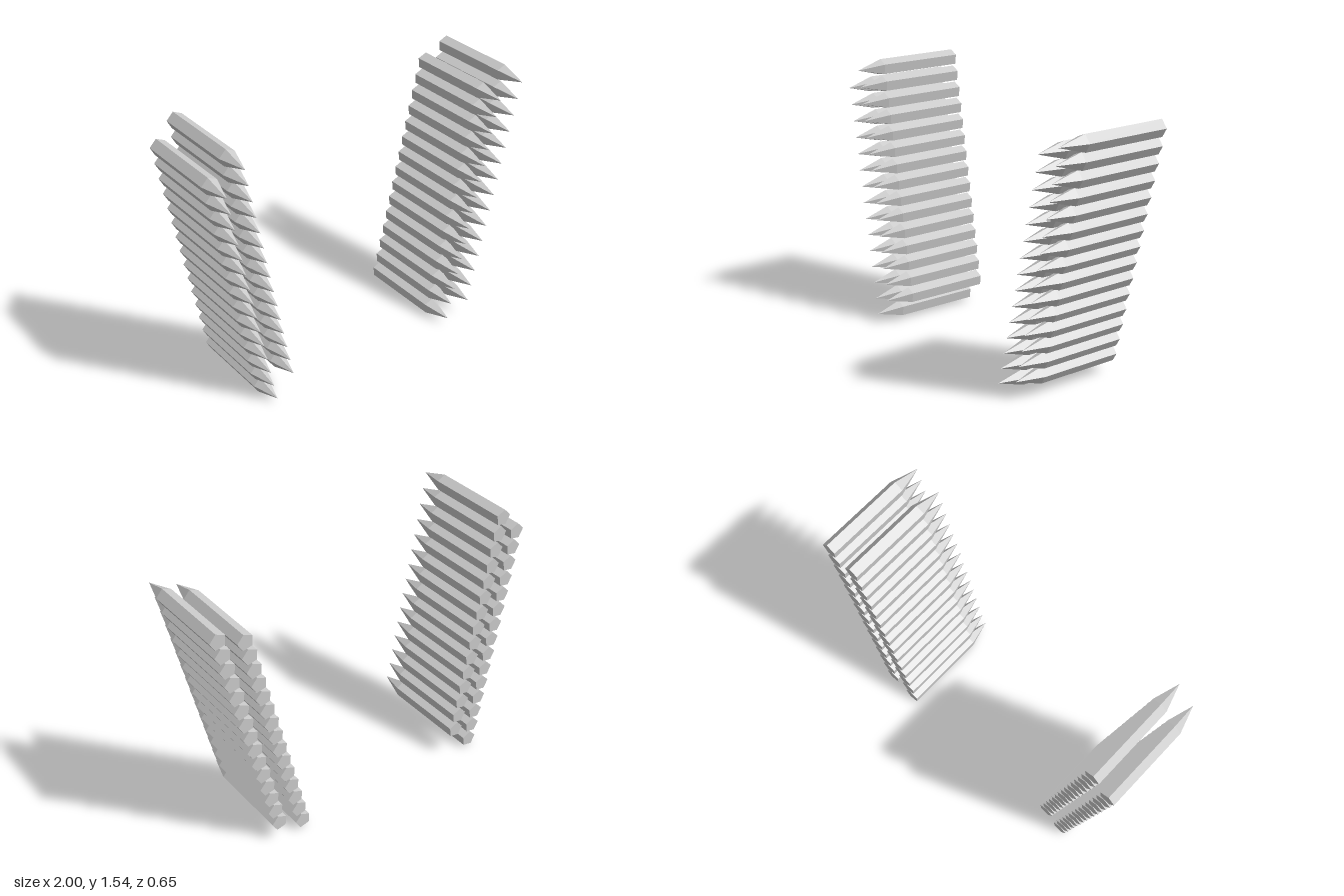
import * as THREE from 'three';

// Four leaning rows of pointed five-sided stakes: centre of the lowest and highest stake
const ROWS = [
  { name: 'rightOuterRow', from: [-0.709, 0.045], to: [-0.953, 1.375] },
  { name: 'rightInnerRow', from: [-0.6, 0.165], to: [-0.845, 1.495] },
  { name: 'leftInnerRow', from: [0.49, 0.051], to: [0.8, 1.368] },
  { name: 'leftOuterRow', from: [0.642, 0.116], to: [0.952, 1.433] },
];
const STAKES_PER_ROW = 15;
const RADIUS = 0.048;

// Flat back, straight pentagonal body and a point facing the front
function stakeGeometry() {
  const profile = [[0, -0.325], [RADIUS, -0.325], [RADIUS, 0.17], [0, 0.325]]
    .map(([r, y]) => new THREE.Vector2(r, y));
  const geometry = new THREE.LatheGeometry(profile, 5, Math.PI);
  geometry.rotateX(Math.PI / 2);
  return geometry;
}

export function createModel() {
  const model = new THREE.Group();
  model.name = 'stakeRows';
  const material = new THREE.MeshStandardMaterial({ color: 0xcccccc, flatShading: true });
  const geometry = stakeGeometry();

  for (const { name, from, to } of ROWS) {
    const row = new THREE.Group();
    row.name = name;
    // Each stake rolls with the lean of its row
    const lean = -Math.atan2(to[0] - from[0], to[1] - from[1]);
    for (let i = 0; i < STAKES_PER_ROW; i++) {
      const t = i / (STAKES_PER_ROW - 1);
      const stake = new THREE.Mesh(geometry, material);
      stake.name = 'stake';
      stake.position.set(
        THREE.MathUtils.lerp(from[0], to[0], t),
        THREE.MathUtils.lerp(from[1], to[1], t),
        0
      );
      stake.rotation.z = lean;
      row.add(stake);
    }
    model.add(row);
  }
  return model;
}
